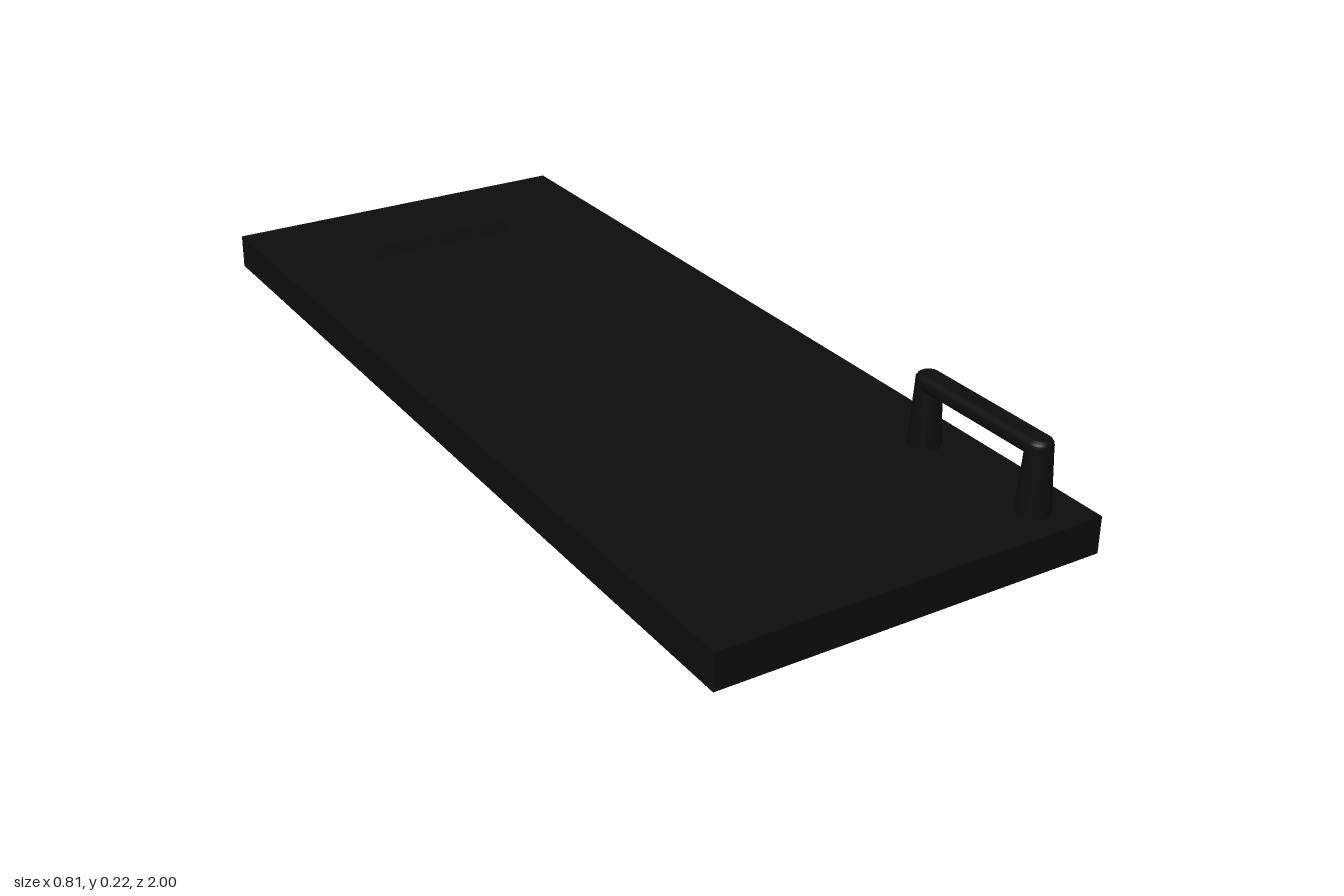
import * as THREE from 'three';

const black = new THREE.MeshStandardMaterial({ color: 0x0d0d0d });

// Skin through a sequence of rectangles [halfX, y, halfZ], closed at both ends
function rectangleLoft(rings) {
  const corners = rings.map(([hx, y, hz]) => [[-hx, y, hz], [hx, y, hz], [hx, y, -hz], [-hx, y, -hz]]);
  const points = [];
  const quad = (a, b, c, d) => points.push(...a, ...b, ...c, ...a, ...c, ...d);
  for (let r = 0; r < corners.length - 1; r++) {
    for (let i = 0; i < 4; i++) {
      const j = (i + 1) % 4;
      quad(corners[r][i], corners[r][j], corners[r + 1][j], corners[r + 1][i]);
    }
  }
  const first = corners[0], last = corners[corners.length - 1];
  quad(first[3], first[2], first[1], first[0]);
  quad(...last);
  const geometry = new THREE.BufferGeometry();
  geometry.setAttribute('position', new THREE.Float32BufferAttribute(points, 3));
  geometry.computeVertexNormals();
  return geometry;
}

function addPart(parent, name, geometry, x = 0, y = 0, z = 0) {
  const mesh = new THREE.Mesh(geometry, black);
  mesh.name = name;
  mesh.position.set(x, y, z);
  parent.add(mesh);
}

// Grip: stadium outline with softened edges, lying along z
function gripGeometry(halfLength, radius, height, bevel) {
  const r = radius - bevel;
  const straight = halfLength - radius;
  const outline = new THREE.Shape();
  outline.absarc(0, straight, r, 0, Math.PI);
  outline.absarc(0, -straight, r, Math.PI, Math.PI * 2);
  const geometry = new THREE.ExtrudeGeometry(outline, {
    depth: height - 2 * bevel, bevelEnabled: true, bevelSize: bevel,
    bevelThickness: bevel, bevelSegments: 4, curveSegments: 16,
  });
  geometry.translate(0, 0, bevel);
  geometry.rotateX(-Math.PI / 2);
  return geometry;
}

export function createModel() {
  const model = new THREE.Group();
  model.name = 'panelDoor';

  // Slab lying flat, with a sloped recess in its upper face
  addPart(model, 'doorSlab', rectangleLoft([
    [0.405, 0, 1],
    [0.405, 0.075, 1],
    [0.19, 0.075, 0.78],
    [0.18, 0.047, 0.77],
  ]));

  // Pull handle: two tapered posts joined by a grip
  const handle = new THREE.Group();
  handle.name = 'pullHandle';
  handle.position.set(0.313, 0.07, 0.777);
  model.add(handle);
  for (const side of [-1, 1]) {
    addPart(handle, side > 0 ? 'frontPost' : 'rearPost',
      new THREE.CylinderGeometry(0.025, 0.033, 0.135, 24), 0, 0.0675, side * 0.148);
  }
  addPart(handle, 'grip', gripGeometry(0.173, 0.0255, 0.033, 0.013), 0, 0.119, 0);

  return model;
}
